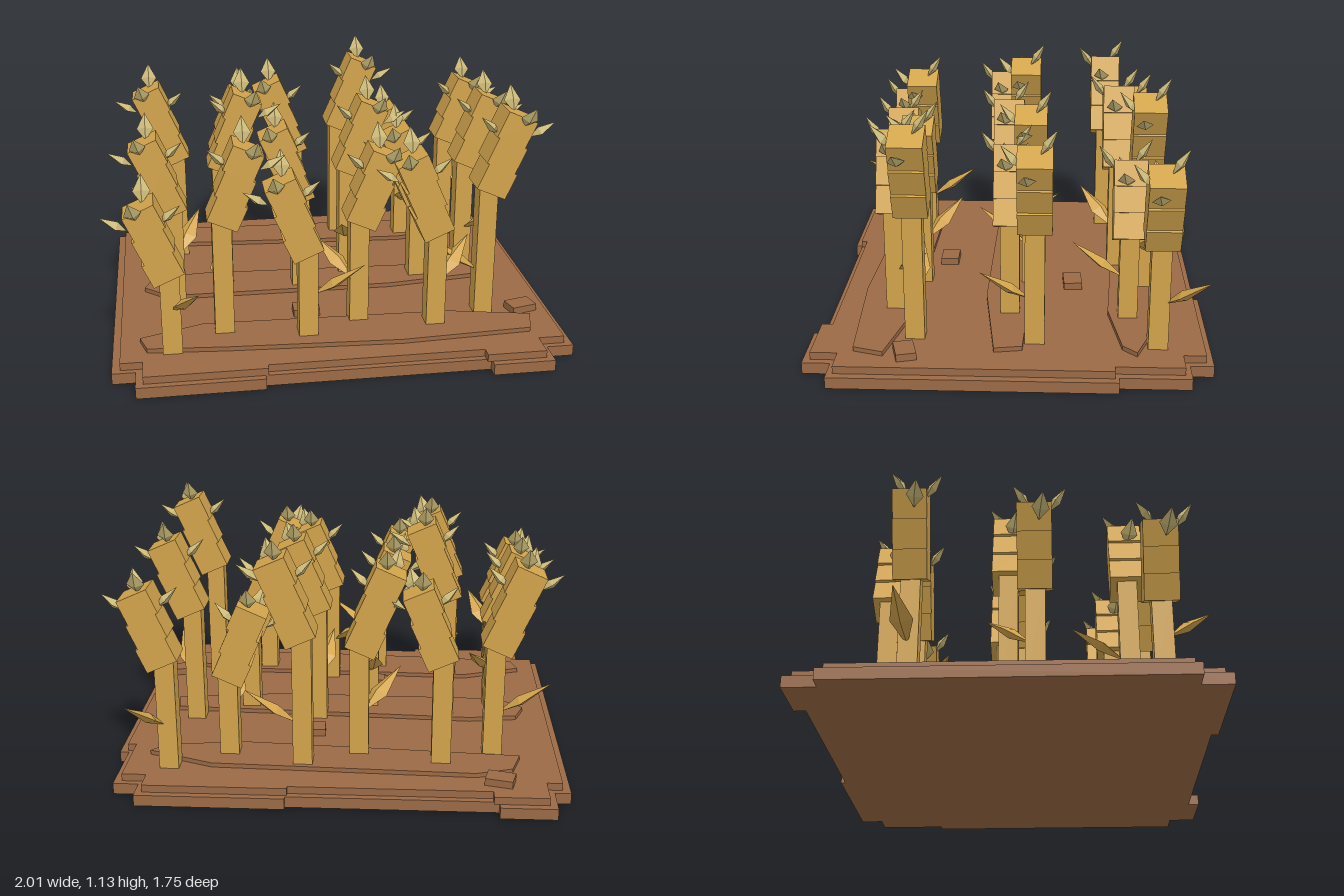
import * as THREE from 'three';

const V = (x, y, z) => new THREE.Vector3(x, y, z);
const mat = (name, color) => {
  const m = new THREE.MeshStandardMaterial({ color });
  m.name = name;
  return m;
};

export function createModel() {
  const soil = mat('soil brown', 0x9b6a45);
  const wheat = mat('wheat gold', 0xd2a44c);
  const husk = mat('pale husk', 0xcbb978);
  const model = new THREE.Group();
  model.name = 'grainField';

  const add = (parent, name, geo, material, x = 0, y = 0, z = 0) => {
    const m = new THREE.Mesh(geo, material);
    m.name = name;
    m.position.set(x, y, z);
    parent.add(m);
    return m;
  };

  // Flat slab from an outline of [x, z] corners
  const slab = (name, pts, y, h, k = 1) => {
    const shape = new THREE.Shape(pts.map(([x, z]) => new THREE.Vector2(x * k, -z * k)));
    const geo = new THREE.ExtrudeGeometry(shape, { depth: h, bevelEnabled: false });
    geo.rotateX(-Math.PI / 2);
    add(model, name, geo, soil, 0, y, 0);
  };

  // Leaf blade: a flattened octahedron, widest below its middle
  const blade = (len, w, t) => {
    const g = new THREE.OctahedronGeometry(1, 0);
    const p = g.attributes.position;
    for (let i = 0; i < p.count; i++) {
      const y = p.getY(i);
      p.setXYZ(i, p.getX(i) * w / 2, len * (y > 0.5 ? 1 : y < -0.5 ? 0 : 0.42), p.getZ(i) * t / 2);
    }
    g.computeVertexNormals();
    return g;
  };
  // Points a blade along dir, with its flat side towards face
  const aim = (mesh, dir, face) => {
    const d = dir.clone().normalize();
    const side = d.clone().cross(face).normalize();
    mesh.quaternion.setFromRotationMatrix(
      new THREE.Matrix4().makeBasis(side, d, side.clone().cross(d)));
  };

  // Stepped ground
  const outline = [
    [-1, -0.74], [-0.93, -0.74], [-0.93, -0.88], [-0.69, -0.88], [-0.69, -0.83], [0.21, -0.83],
    [0.21, -0.85], [0.85, -0.85], [0.85, -0.75], [0.96, -0.75], [0.96, -0.45], [1, -0.45],
    [1, 0.75], [0.88, 0.75], [0.88, 0.87], [0.61, 0.87], [0.61, 0.82], [-0.36, 0.82],
    [-0.36, 0.85], [-0.9, 0.85], [-0.9, 0.72], [-1, 0.72]];
  slab('lowerGround', outline, 0, 0.05);
  slab('upperGround', outline, 0.05, 0.033, 0.965);

  // Raised planting ridges
  [
    [[-0.8, -0.5], [-0.76, -0.63], [-0.6, -0.68], [0.55, -0.64], [0.84, -0.53], [0.78, -0.47], [0.45, -0.42], [-0.2, -0.46]],
    [[-0.86, 0.02], [-0.82, -0.08], [-0.6, -0.11], [0.3, -0.07], [0.8, -0.05], [0.82, 0.07], [0.3, 0.13], [-0.75, 0.12]],
    [[-0.88, 0.52], [-0.6, 0.42], [0.5, 0.45], [0.87, 0.53], [0.83, 0.66], [0.25, 0.69], [-0.5, 0.65], [-0.85, 0.62]],
  ].forEach(p => slab('plantingRidge', p, 0.083, 0.02));

  // Clods of earth
  [[-0.7, -0.72, -0.25], [0.135, -0.265, 0.05], [-0.13, 0.335, 0], [0.85, 0.44, 0.25]].forEach(([x, z, r]) => {
    add(model, 'clod', new THREE.BoxGeometry(0.12, 0.035, 0.085), soil, x, 0.098, z).rotation.y = r;
  });

  const block = new THREE.BoxGeometry(0.14, 1, 0.145);
  const awnGeo = blade(0.13, 0.075, 0.04);
  const leafGeo = blade(0.28, 0.1, 0.045);

  // Husk tips: root, direction, facing; +x is the way the head leans
  const awns = [
    [V(-0.04, 0.36, -0.02), V(-0.4, 0.9, -0.65), V(0, 0, 1)],
    [V(0, 0.33, 0.06), V(-0.15, 1, 0.72), V(0, 0, 1)],
    [V(-0.065, 0.25, 0.01), V(-0.95, 0.35, 0.2), V(0, 1, 0)],
    [V(0.06, 0.29, 0.02), V(0.55, 0.85, 0.15), V(1, 0, 0)],
  ];

  // Columns of stalks: x, z offset in the row, lowest head corner for front, middle, back rows
  const columns = [
    [-0.71, 0.09, [0.41, 0.49, 0.56]],
    [-0.48, -0.03, [0.59, 0.645, 0.54]],
    [-0.12, 0.045, [0.46, 0.5, 0.56]],
    [0.12, -0.07, [0.54, 0.59, 0.645]],
    [0.45, 0.015, [0.51, 0.47, 0.43]],
    [0.7, -0.1, [0.645, 0.59, 0.54]],
  ];
  const rowZ = [0.512, 0, -0.52];
  const tilt = 0.42;

  // Where each low leaf points in plan, as row, column, x, z of the tip
  const leaves = [
    [0, 0, -0.61, 0.85], [0, 1, -0.51, 0.2], [0, 2, 0.1, 0.63], [0, 3, -0.09, 0.26],
    [0, 4, 0.6, 0.37], [0, 5, 0.42, 0.4], [1, 0, -0.57, -0.15], [1, 2, -0.16, -0.23],
    [1, 3, 0.05, 0.21], [1, 5, 0.82, 0.17], [2, 0, -0.92, -0.47], [2, 2, -0.27, -0.3],
    [2, 3, 0.4, -0.61], [2, 4, 0.46, -0.22], [2, 5, 0.89, -0.85]];

  rowZ.forEach((rz, r) => columns.forEach(([cx, dz, lows], c) => {
    const lean = c % 2 ? 1 : -1;
    const plant = new THREE.Group();
    plant.name = 'grainPlant';
    plant.position.set(cx + (r - 1) * 0.03, 0, rz + dz);
    model.add(plant);

    const y = lows[r] + 0.03;
    add(plant, 'stalk', new THREE.BoxGeometry(0.084, y - 0.05, 0.084), wheat, 0, (y + 0.11) / 2, 0);

    // Leaning head of three stepped blocks
    const s = 0.9 + (lows[r] - (lean > 0 ? 0.54 : 0.41)) * 0.9;
    const head = new THREE.Group();
    head.name = 'grainHead';
    head.position.y = y;
    head.rotation.z = -lean * tilt;
    plant.add(head);
    const h = 0.123 * s;
    for (let i = 0; i < 3; i++) {
      add(head, 'grainBlock', block, wheat, -lean * 0.012 * i, h * (i + 0.5), 0).scale.y = h;
    }
    const flip = v => V(v.x * lean, v.y, v.z);
    awns.forEach(([root, dir, face]) => {
      const a = add(head, 'huskTip', awnGeo, husk, root.x * lean, root.y * s, root.z);
      aim(a, flip(dir), flip(face));
    });

    // Low leaves
    leaves.filter(l => l[0] === r && l[1] === c).forEach(([, , tx, tz]) => {
      const d = V(tx - plant.position.x, 0, tz - plant.position.z).normalize();
      const leaf = add(plant, 'lowLeaf', leafGeo, wheat, d.x * 0.02, 0.28, d.z * 0.02);
      aim(leaf, V(d.x * 0.23, 0.16, d.z * 0.23), V(0, 1, 0));
    });
  }));

  return model;
}
